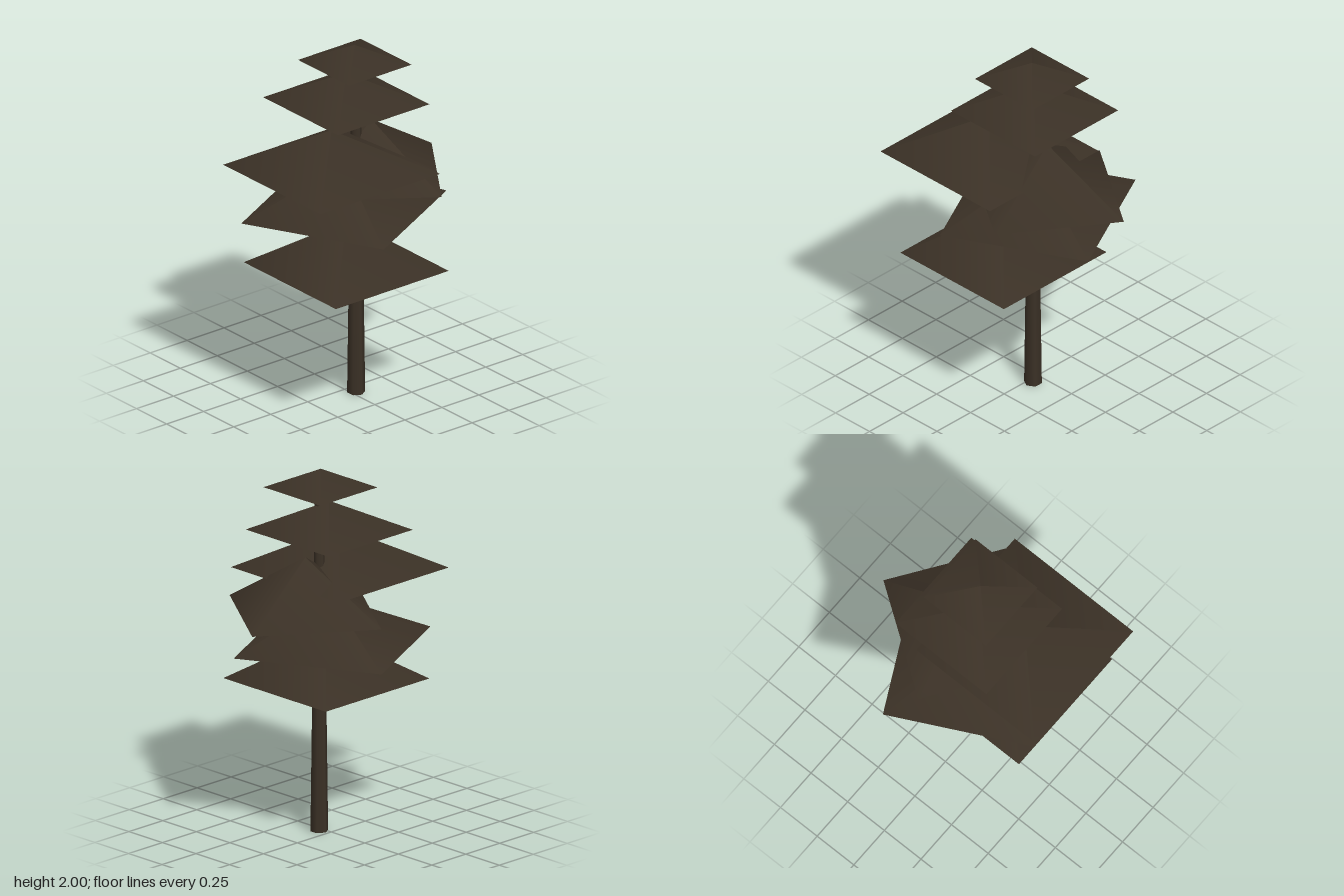
import * as THREE from 'three';

export function createModel() {
  const tree = new THREE.Group();
  tree.name = 'pineTree';
  const bark = new THREE.MeshStandardMaterial({ color: 0x3b3126, side: THREE.DoubleSide });
  bark.name = 'darkBrown';

  // Tapered six-sided trunk
  const trunkHeight = 1.94;
  const trunk = new THREE.Mesh(new THREE.CylinderGeometry(0.023, 0.048, trunkHeight, 6), bark);
  trunk.name = 'trunk';
  trunk.position.set(0.027, trunkHeight / 2, 0.062);
  tree.add(trunk);

  // Hollow four-sided foliage tiers: centre x, z, base y, top y, corner radius, turn
  const square = Math.PI / 4;
  const tiers = [
    [-0.108, 0.146, 0.79, 1.05, 0.54, square],
    [-0.003, -0.003, 1.05, 1.305, 0.577, 0.314],
    [0.131, 0.06, 1.235, 1.54, 0.486, 0.179],
    [-0.209, 0.148, 1.38, 1.605, 0.571, square],
    [-0.004, 0.019, 1.67, 1.83, 0.438, square],
    [0.019, 0.061, 1.9, 2.0, 0.299, square],
  ];
  tiers.forEach(([x, z, base, top, radius, turn], i) => {
    const cone = new THREE.ConeGeometry(radius, top - base, 4, 1, true);
    const tier = new THREE.Mesh(cone, bark);
    tier.name = `foliageTier${i + 1}`;
    tier.position.set(x, (base + top) / 2, z);
    // Tier 2 has a corner at (+x, +z small); tier 3 at (+z, +x small)
    tier.rotation.y = i === 1 ? -turn : turn;
    tree.add(tier);
  });

  return tree;
}
